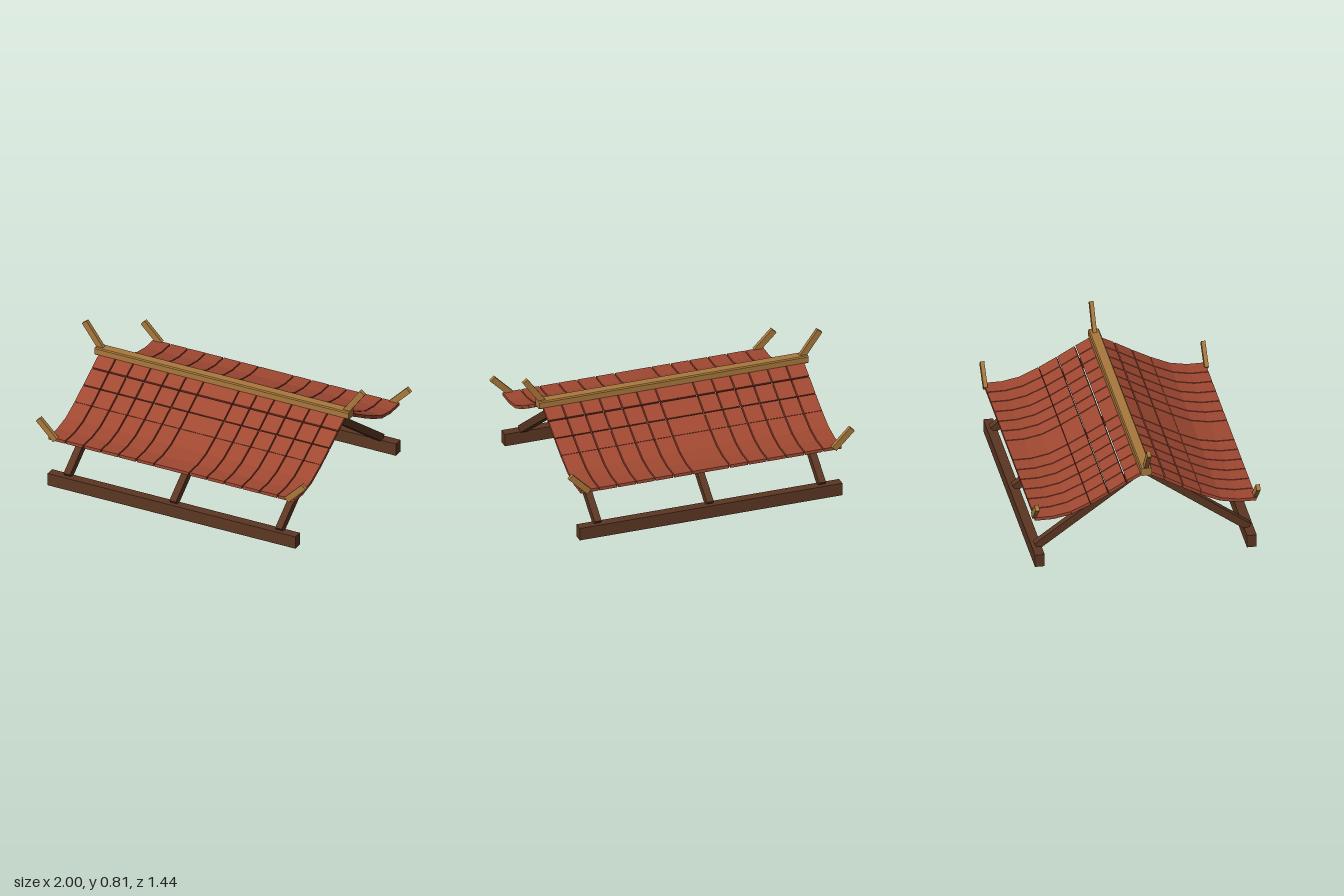
import * as THREE from 'three';

const mat = (name, color) => {
  const m = new THREE.MeshStandardMaterial({ color });
  m.name = name;
  return m;
};

export function createModel() {
  const tileRed = mat('tileRed', 0xa04832);
  const darkWood = mat('darkWood', 0x5c3622);
  const goldWood = mat('goldWood', 0xa8783c);

  const root = new THREE.Group();
  root.name = 'tiledRoof';

  const box = (parent, name, material, w, h, d, x, y, z) => {
    const mesh = new THREE.Mesh(new THREE.BoxGeometry(w, h, d), material);
    mesh.name = name;
    mesh.position.set(x, y, z);
    parent.add(mesh);
    return mesh;
  };

  // Box laid between two [z, y] points, shortened by a gap
  const span = (parent, name, material, x, w, h, a, b, gap = 0) => {
    const dz = b[0] - a[0], dy = b[1] - a[1];
    const mesh = box(parent, name, material, w, h, Math.hypot(dz, dy) - gap,
      x, (a[1] + b[1]) / 2, (a[0] + b[0]) / 2);
    mesh.rotation.x = Math.atan2(-dy, dz);
  };

  // Sagging roof line, ridge to eave, as [z, y]
  const sag = [[0, 0.612], [0.12, 0.548], [0.236, 0.481], [0.352, 0.418],
    [0.475, 0.362], [0.59, 0.34], [0.706, 0.34]];
  const rowGaps = [0.009, 0.009, 0.004, 0.002, 0, 0];

  // Tile column edges; the middle column is double width
  const edges = [];
  for (let i = -7; i <= 7; i++) if (i !== 0) edges.push(i * 0.125);

  // Two identical slopes, back to back
  for (const [name, turn] of [['frontSlope', 0], ['backSlope', Math.PI]]) {
    const slope = new THREE.Group();
    slope.name = name;
    slope.rotation.y = turn;
    root.add(slope);

    for (let r = 0; r < 6; r++) {
      for (let c = 0; c < edges.length - 1; c++) {
        span(slope, 'roofTile', tileRed, (edges[c] + edges[c + 1]) / 2,
          edges[c + 1] - edges[c] - 0.008, 0.021, sag[r], sag[r + 1], rowGaps[r]);
      }
    }

    // Rafters and the beam they stand on
    for (const x of [-0.75, 0, 0.75]) {
      span(slope, 'rafter', darkWood, x, 0.046, 0.05, [0, 0.575], [0.677, 0.085]);
    }
    box(slope, 'baseBeam', darkWood, 1.756, 0.084, 0.062, 0, 0.042, 0.676);

    // Upturned horns at the eave corners
    for (const s of [-1, 1]) {
      const horn = box(slope, 'eaveHorn', goldWood, 0.04, 0.172, 0.026, s * 0.88, 0.4, 0.705);
      horn.rotation.z = -s * Math.PI / 4;
    }
  }

  // Ridge beam with chamfered long edges
  const w = 0.035, h = 0.026, c = 0.007;
  const section = new THREE.Shape([[-w, -h + c], [-w + c, -h], [w - c, -h], [w, -h + c],
    [w, h - c], [w - c, h], [-w + c, h], [-w, h - c]].map(p => new THREE.Vector2(...p)));
  const ridgeGeometry = new THREE.ExtrudeGeometry(section, { depth: 1.8, bevelEnabled: false });
  ridgeGeometry.translate(0, 0, -0.9).rotateY(Math.PI / 2);
  const ridge = new THREE.Mesh(ridgeGeometry, goldWood);
  ridge.name = 'ridgeBeam';
  ridge.position.y = 0.624;
  root.add(ridge);

  // Horns at the ridge ends
  for (const s of [-1, 1]) {
    const horn = box(root, 'ridgeHorn', goldWood, 0.04, 0.2, 0.026, s * 0.925, 0.719, 0);
    horn.rotation.z = -s * 0.63;
  }

  return root;
}
